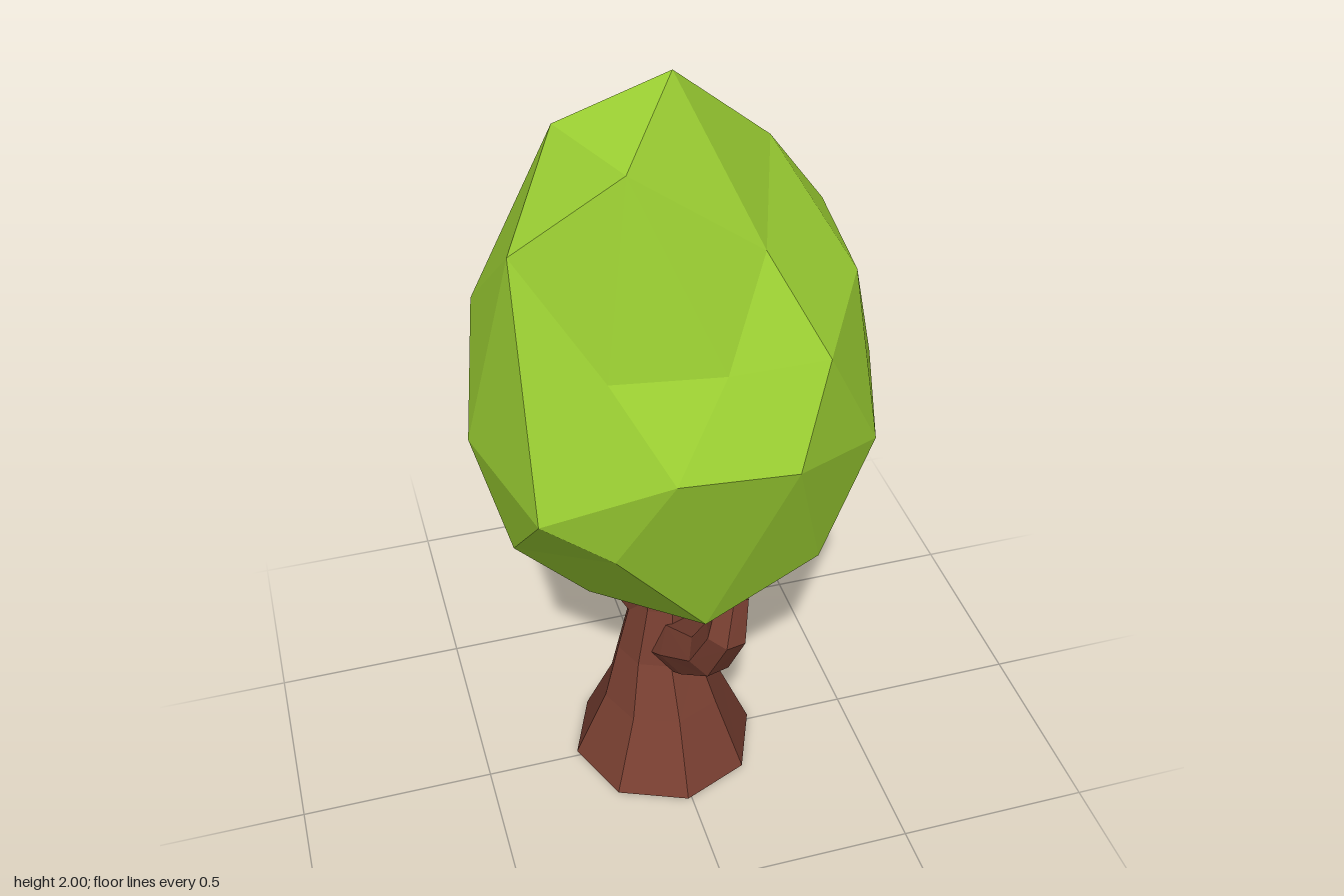
import * as THREE from 'three';
import { ConvexGeometry } from 'three/addons/geometries/ConvexGeometry.js';

const bark = new THREE.MeshStandardMaterial({ color: 0x7a4032, flatShading: true });
const leaf = new THREE.MeshStandardMaterial({ color: 0x9acd32, flatShading: true });

// Faceted limb: rings of given radii swept along a path, capped at both ends
function limb(path, radii, sides, sideAxis) {
  const pts = path.map(p => new THREE.Vector3(...p));
  const last = pts.length - 1;
  const rings = pts.map((p, i) => {
    const t = pts[Math.min(i + 1, last)].clone().sub(pts[Math.max(i - 1, 0)]).normalize();
    const u = sideAxis.clone().addScaledVector(t, -sideAxis.dot(t)).normalize();
    const v = t.clone().cross(u);
    return Array.from({ length: sides }, (_, j) => {
      const a = (j / sides) * Math.PI * 2;
      return p.clone().addScaledVector(u, Math.cos(a) * radii[i]).addScaledVector(v, Math.sin(a) * radii[i]);
    });
  });
  const tris = [];
  for (let j = 0; j < sides; j++) {
    const k = (j + 1) % sides;
    for (let i = 0; i < last; i++) {
      const a = rings[i], b = rings[i + 1];
      tris.push(a[j], a[k], b[k], a[j], b[k], b[j]);
    }
    tris.push(pts[0], rings[0][k], rings[0][j], pts[last], rings[last][j], rings[last][k]);
  }
  const geo = new THREE.BufferGeometry().setFromPoints(tris);
  geo.computeVertexNormals();
  return geo;
}

// Faceted blob: corners are joined as on a sphere, so shallow dents survive
function blob(corners, center, stretch) {
  const dirs = corners.map(c => {
    const d = c.clone().sub(center);
    d.y /= stretch;
    return d.normalize();
  });
  const geo = new ConvexGeometry(dirs);
  const pos = geo.attributes.position;
  const p = new THREE.Vector3();
  for (let i = 0; i < pos.count; i++) {
    p.fromBufferAttribute(pos, i);
    const c = corners[dirs.findIndex(d => d.distanceTo(p) < 1e-4)];
    pos.setXYZ(i, c.x, c.y, c.z);
  }
  geo.computeVertexNormals();
  return geo;
}

export function createModel() {
  const tree = new THREE.Group();
  tree.name = 'tree';
  const add = (name, geo, mat) => {
    const mesh = new THREE.Mesh(geo, mat);
    mesh.name = name;
    tree.add(mesh);
  };

  // Trunk flaring toward the ground
  const trunkPath = [[-0.01, 0, -0.015], [-0.01, 0.2, -0.015], [-0.015, 0.35, -0.03], [-0.005, 0.52, -0.025], [0, 0.74, -0.025]];
  add('trunk', limb(trunkPath, [0.245, 0.16, 0.113, 0.085, 0.08], 8, new THREE.Vector3(1, 0, 0)), bark);

  // Upturned branches
  const branches = {
    frontBranch: [[[0.01, 0.36, -0.02], [0.025, 0.43, 0.09], [0.045, 0.52, 0.22], [0.065, 0.64, 0.28], [0.085, 0.75, 0.265]],
      [0.085, 0.078, 0.06, 0.054, 0.042]],
    backBranch: [[[0, 0.45, -0.03], [0.06, 0.53, -0.09], [0.125, 0.59, -0.155], [0.145, 0.67, -0.2], [0.13, 0.81, -0.19]],
      [0.075, 0.062, 0.05, 0.043, 0.025]],
    sideBranch: [[[-0.01, 0.45, -0.03], [-0.09, 0.55, -0.05], [-0.14, 0.62, -0.065], [-0.155, 0.7, -0.065]],
      [0.065, 0.045, 0.037, 0.026]],
  };
  for (const [name, [path, radii]] of Object.entries(branches)) {
    const [a, b] = [path[0], path[path.length - 1]];
    const side = new THREE.Vector3(b[2] - a[2], 0, a[0] - b[0]).normalize();
    add(name, limb(path, radii, 6, side), bark);
  }

  // Faceted crown from irregular tiers of corners
  const top = [[0, 2, 0.03], [-0.15, 1.88, 0.22], [-0.25, 1.9, 0], [0.26, 1.76, -0.09], [0.02, 1.77, -0.3]];
  const shoulder = [[-0.38, 1.67, 0.115], [0.15, 1.66, 0.22], [0.4, 1.57, -0.11], [0.41, 1.5, 0.1], [0.26, 1.45, 0.35],
    [0.03, 1.45, 0.35], [-0.22, 1.45, 0.31], [-0.23, 1.57, -0.36], [0, 1.48, -0.41], [0.24, 1.55, -0.28], [-0.43, 1.45, -0.1]];
  const waist = [[0.16, 1.25, 0.465], [-0.11, 1.26, 0.45], [-0.39, 1.13, 0.345], [0.415, 1.15, 0.27], [0.475, 1.24, 0.06],
    [0.41, 1.16, -0.285], [0.15, 1.2, -0.38], [-0.16, 1.11, -0.465], [-0.4, 1.2, -0.265], [-0.48, 1.15, 0.02]];
  const base = [[-0.23, 1.02, 0.38], [0.27, 0.88, 0.33], [0, 0.72, 0.32], [-0.41, 0.89, 0.12], [-0.23, 0.69, 0.1],
    [0.26, 0.71, -0.06], [0.39, 0.9, -0.08], [0.4, 1.02, 0.16], [0.26, 0.95, -0.26], [-0.06, 0.89, -0.4],
    [-0.37, 0.88, -0.17], [0, 0.64, 0.07]];
  const corners = [top, shoulder, waist, base].flat().map(p => new THREE.Vector3(...p));
  add('foliage', blob(corners, new THREE.Vector3(0, 1.25, 0), 1.45), leaf);

  return tree;
}
